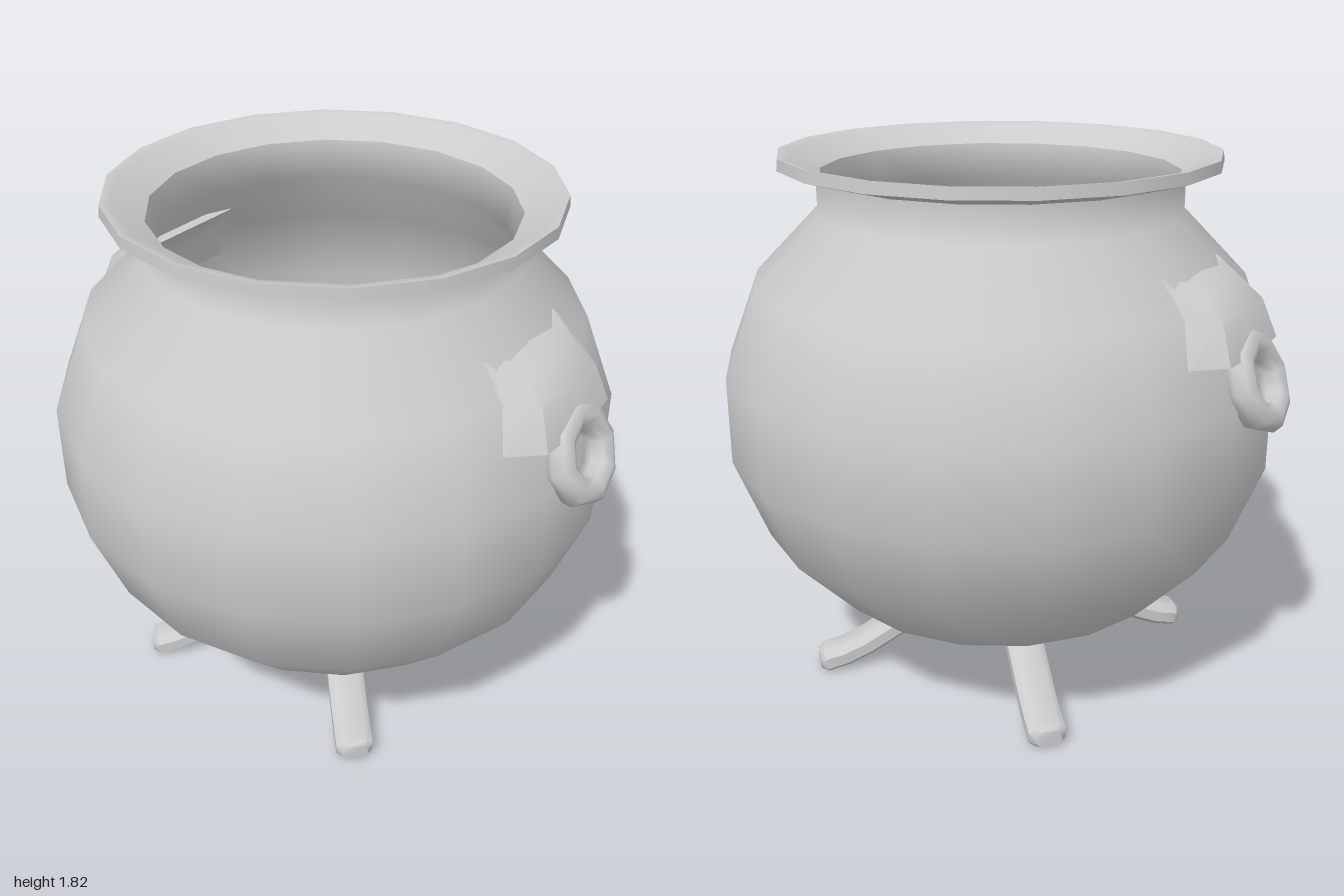
import * as THREE from 'three';
import { mergeVertices, toCreasedNormals } from 'three/addons/utils/BufferGeometryUtils.js';

const material = new THREE.MeshStandardMaterial({ color: 0xcccccc });
const SIDES = 18;

function mesh(name, geometry) {
  const m = new THREE.Mesh(geometry, material);
  m.name = name;
  return m;
}

function lathe(name, points) {
  return mesh(name, new THREE.LatheGeometry(points.map(([r, y]) => new THREE.Vector2(r, y)), SIDES));
}

// Skins closed rings of [x, y, z] points and caps both ends
function loft(rings, crease) {
  const n = rings[0].length;
  const last = (rings.length - 1) * n;
  const index = [];
  for (let i = 0; i < rings.length - 1; i++) {
    for (let j = 0; j < n; j++) {
      const a = i * n + j, b = i * n + (j + 1) % n;
      index.push(a, b, b + n, a, b + n, a + n);
    }
  }
  for (let j = 1; j < n - 1; j++) {
    index.push(0, j + 1, j, last, last + j, last + j + 1);
  }
  const g = new THREE.BufferGeometry();
  g.setAttribute('position', new THREE.Float32BufferAttribute(rings.flat(2), 3));
  g.setIndex(index);
  return toCreasedNormals(mergeVertices(g), crease);
}

// Curved leg running outward along +x, with a peg up through the pot floor
function makeLeg() {
  const path = [[0.175, 0.208], [0.3, 0.203], [0.4, 0.145], [0.5, 0.088], [0.58, 0.055], [0.65, 0.04], [0.67, 0.04]];
  const rings = path.map(([x, y], i) => {
    const p = path[Math.max(i - 1, 0)], q = path[Math.min(i + 1, path.length - 1)];
    const slope = Math.atan2(q[1] - p[1], q[0] - p[0]);
    const tip = i === path.length - 1 ? 0.7 : 1;
    const w = 0.062 * tip, h = 0.038 * tip;
    const section = [[-0.65, 1], [0.65, 1], [1, 0.5], [1, -0.5], [0.65, -1], [-0.65, -1], [-1, -0.5], [-1, 0.5]];
    return section.map(([s, t]) => [x - Math.sin(slope) * t * h, y + Math.cos(slope) * t * h, s * w]);
  });
  const leg = new THREE.Group();
  leg.name = 'leg';
  const peg = mesh('legPeg', new THREE.BoxGeometry(0.127, 0.1, 0.127));
  peg.position.set(0.255, 0.25, 0);
  leg.add(mesh('legFoot', loft(rings, 0.8)), peg);
  return leg;
}

// Bulging bracket with a ring hanging under it, on the +x side
function makeHandle() {
  // y, x at the middle, x at the edges, half width
  const rows = [
    [1.52, 0.70, 0.68, 0.21],
    [1.47, 0.80, 0.735, 0.22],
    [1.41, 0.87, 0.775, 0.24],
    [1.285, 0.915, 0.81, 0.28],
  ];
  const rings = rows.map(([y, xc, xe, hz]) => [
    [xe, y, -hz], [xc - 0.01, y, -hz * 0.68], [xc, y, 0], [xc - 0.01, y, hz * 0.68], [xe, y, hz],
    [xe - 0.06, y, hz], [xe - 0.06, y, -hz],
  ]);
  const handle = new THREE.Group();
  handle.name = 'handle';
  const ring = mesh('handleRing', new THREE.TorusGeometry(0.12, 0.05, 8, 8));
  ring.geometry.rotateY(Math.PI / 2);
  ring.rotation.z = 0.4;
  ring.position.set(0.918, 1.195, 0);
  handle.add(mesh('handleBracket', loft(rings, 0.7)), ring);
  return handle;
}

export function createModel() {
  const model = new THREE.Group();
  model.name = 'cauldron';

  // Pot shell, rim and hollow inside
  model.add(
    lathe('potBody', [[0, 0.21], [0.32, 0.238], [0.605, 0.337], [0.82, 0.565], [0.928, 0.845],
      [0.928, 1.135], [0.817, 1.42], [0.605, 1.637], [0.605, 1.755]]),
    lathe('rimUnderside', [[0.605, 1.755], [0.725, 1.788]]),
    lathe('rimEdge', [[0.725, 1.788], [0.722, 1.825]]),
    lathe('rimTop', [[0.722, 1.825], [0.69, 1.82], [0.59, 1.76]]),
    lathe('potInside', [[0.59, 1.76], [0.575, 1.63], [0.775, 1.4], [0.875, 1.13], [0.875, 0.85],
      [0.775, 0.6], [0.575, 0.385], [0.31, 0.288], [0, 0.262]]),
  );

  // Four diagonal legs
  const legs = new THREE.Group();
  legs.name = 'legs';
  for (let i = 0; i < 4; i++) {
    const leg = makeLeg();
    leg.rotation.y = Math.PI / 4 + i * Math.PI / 2;
    legs.add(leg);
  }
  legs.scale.z = 1.04;
  legs.position.x = -0.015;
  model.add(legs);

  // One handle on each side
  for (const [name, turn] of [['leftHandle', 0], ['rightHandle', Math.PI]]) {
    const handle = makeHandle();
    handle.name = name;
    handle.rotation.y = turn;
    model.add(handle);
  }
  return model;
}
